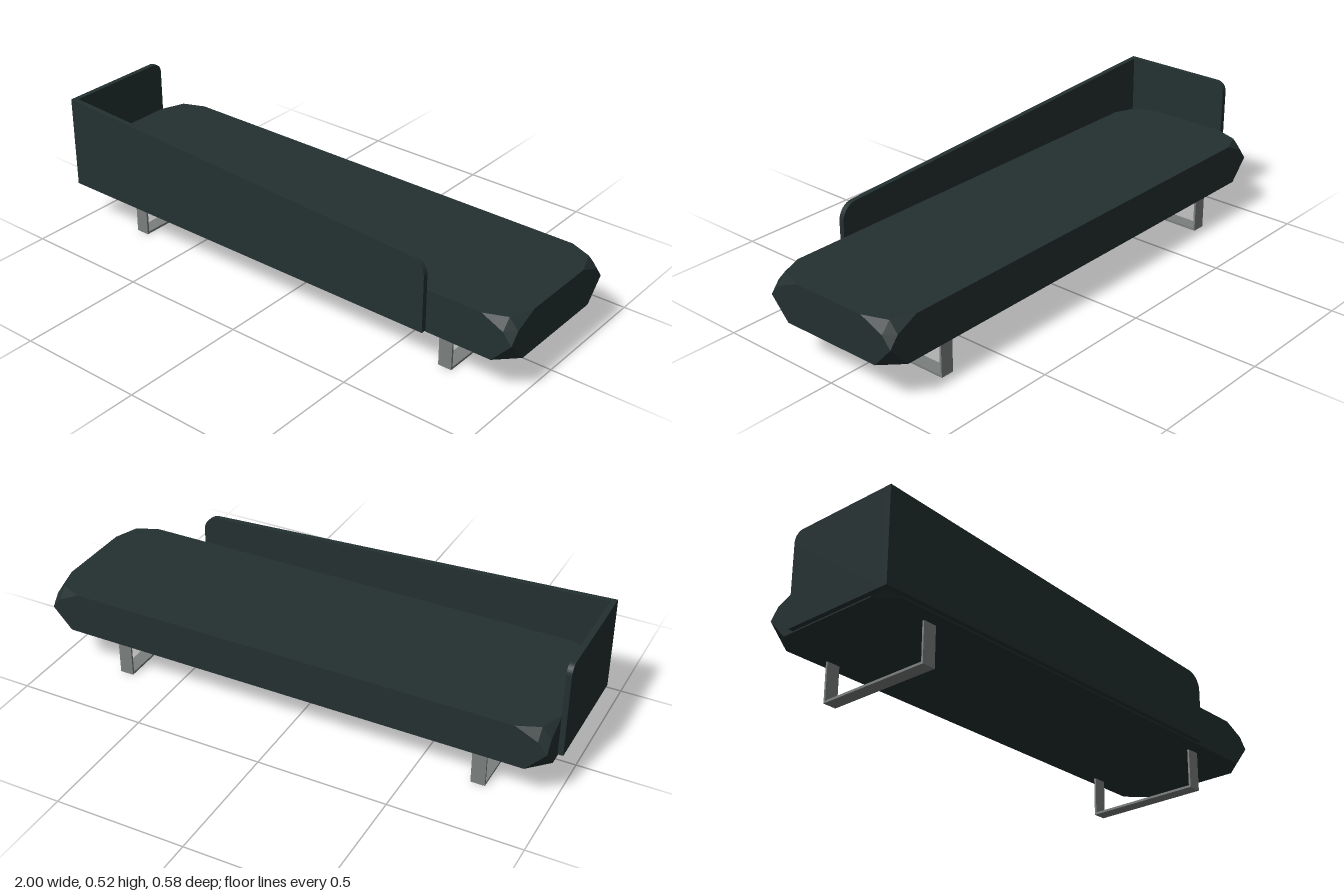
import * as THREE from 'three';
import { ConvexGeometry } from 'three/addons/geometries/ConvexGeometry.js';

const fabric = new THREE.MeshStandardMaterial({ color: 0x243030 });
fabric.name = 'dark green upholstery';
const steel = new THREE.MeshStandardMaterial({ color: 0x7a7f7d });
steel.name = 'grey steel';

function addMesh(parent, name, geometry, material) {
  const mesh = new THREE.Mesh(geometry, material);
  mesh.name = name;
  parent.add(mesh);
  return mesh;
}

function addBox(parent, name, [x0, x1], [y0, y1], [z0, z1]) {
  const mesh = addMesh(parent, name, new THREE.BoxGeometry(x1 - x0, y1 - y0, z1 - z0), steel);
  mesh.position.set((x0 + x1) / 2, (y0 + y1) / 2, (z0 + z1) / 2);
}

// Upright panel with one rounded top corner at its free end
function panelGeometry(length, bottom, nearTop, farTop, radius, thickness) {
  const slope = (farTop - nearTop) / length;
  const shape = new THREE.Shape();
  shape.moveTo(0, bottom);
  shape.lineTo(length, bottom);
  shape.lineTo(length, farTop - radius);
  shape.bezierCurveTo(length, farTop - radius * 0.45, length - radius * 0.45, farTop - slope * radius * 0.45,
    length - radius, farTop - slope * radius);
  shape.lineTo(0, nearTop);
  return new THREE.ExtrudeGeometry(shape, { depth: thickness, bevelEnabled: false, curveSegments: 8 });
}

// Seat block whose eight corners are cut off; the upper cuts are softly rounded
function seatGeometry() {
  const cx = 0.01, cz = -0.01, hx = 0.99, hz = 0.281, top = 0.32, bottom = 0.155;
  const points = [];
  for (const sx of [-1, 1]) for (const sz of [-1, 1]) {
    const add = (inX, y, inZ) =>
      points.push(new THREE.Vector3(cx + sx * (hx - inX), y, cz + sz * (hz - inZ)));
    add(0, top, 0.13);
    add(0.12, top, 0);
    add(0.035, top, 0.035);
    add(0, 0.28, 0.035);
    add(0.035, 0.28, 0);
    add(0, 0.237, 0);
    add(0, bottom, 0.075);
    add(0.075, bottom, 0);
  }
  return new ConvexGeometry(points);
}

export function createModel() {
  const model = new THREE.Group();
  model.name = 'daybed';

  addMesh(model, 'seat', seatGeometry(), fabric);

  // Long sloping panel along the front
  const front = addMesh(model, 'frontPanel', panelGeometry(1.665, 0.16, 0.523, 0.437, 0.06, 0.02), fabric);
  front.position.set(-1, 0, 0.272);

  // Taller end panel, running from the front panel towards the back
  const end = addMesh(model, 'endPanel', panelGeometry(0.443, 0.16, 0.523, 0.523, 0.038, 0.02), fabric);
  end.rotation.y = Math.PI / 2;
  end.position.set(-1, 0, 0.272);

  // Two flat-bar sled legs
  for (const [name, x] of [['rightLeg', -0.733], ['leftLeg', 0.712]]) {
    const leg = new THREE.Group();
    leg.name = name;
    const width = [x - 0.027, x + 0.027];
    addBox(leg, 'frontPost', width, [0, 0.16], [0.208, 0.216]);
    addBox(leg, 'backPost', width, [0, 0.16], [-0.255, -0.247]);
    addBox(leg, 'floorBar', width, [0, 0.009], [-0.247, 0.208]);
    model.add(leg);
  }
  return model;
}
